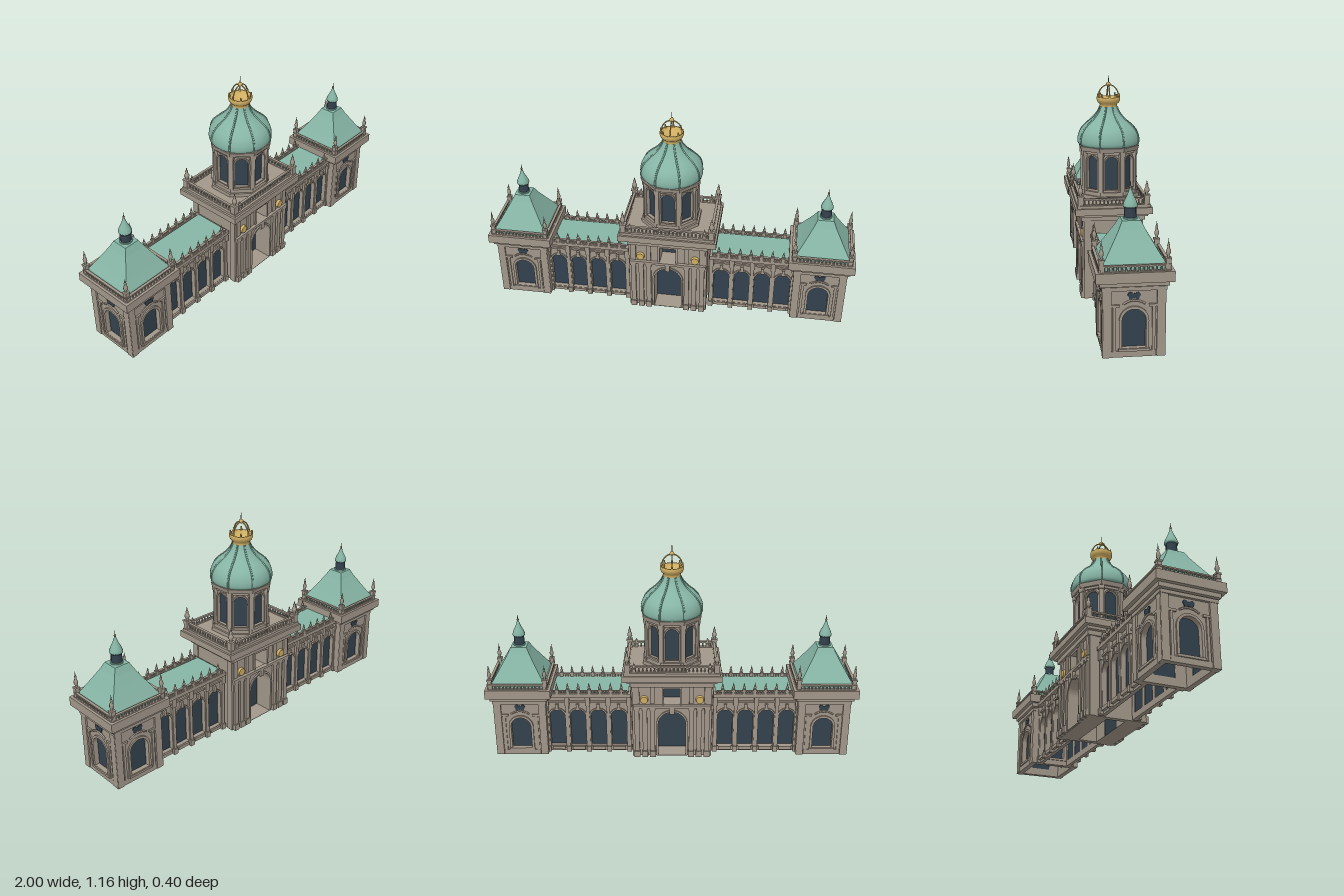
import * as THREE from 'three';
import { mergeGeometries } from 'three/addons/utils/BufferGeometryUtils.js';

const mat = (name, color) => {
  const m = new THREE.MeshStandardMaterial({ color, side: THREE.DoubleSide });
  m.name = name;
  return m;
};
const stone = mat('stone', 0xa2978a), copper = mat('copper', 0x86b5a5);
const glass = mat('glass', 0x33414d), gold = mat('gold', 0xcfae62), bronze = mat('bronze', 0x8a7355);

function add(parent, name, geo, material, x = 0, y = 0, z = 0) {
  const m = new THREE.Mesh(geo, material);
  m.name = name;
  m.position.set(x, y, z);
  parent.add(m);
  return m;
}
function group(parent, name, x = 0, y = 0, z = 0, ry = 0) {
  const g = new THREE.Group();
  g.name = name;
  g.position.set(x, y, z);
  g.rotation.y = ry;
  parent.add(g);
  return g;
}
// Box given by its bottom and top heights
const block = (p, name, w, y0, y1, d, x = 0, z = 0, m = stone) =>
  add(p, name, new THREE.BoxGeometry(w, y1 - y0, d), m, x, (y0 + y1) / 2, z);
const vecs = pts => pts.map(p => new THREE.Vector2(p[0], p[1]));
const lathe = (pts, n) => new THREE.LatheGeometry(vecs(pts), n);

// Opening outline: rectangle, or rectangle with a round head
function opening(o, grow = 0, Type = THREE.Shape) {
  const r = o.w / 2 + grow, s = new Type();
  s.moveTo(o.x - r, o.y0);
  s.lineTo(o.x + r, o.y0);
  if (o.flat) {
    s.lineTo(o.x + r, o.y1 + grow);
    s.lineTo(o.x - r, o.y1 + grow);
  } else s.absarc(o.x, o.y1 - o.w / 2, r, 0, Math.PI, false);
  s.closePath();
  return s;
}
const extrude = (shape, depth) =>
  new THREE.ExtrudeGeometry(shape, { depth, bevelEnabled: false, curveSegments: 10 });

// Wall with openings, recessed glass and raised surrounds; outer face at z = 0
function facade(p, w, y0, y1, t, openings, frame = 0.012) {
  const wall = new THREE.Shape(vecs([[-w / 2, y0], [w / 2, y0], [w / 2, y1], [-w / 2, y1]]));
  for (const o of openings) {
    wall.holes.push(opening(o, 0, THREE.Path));
    add(p, 'windowPane', new THREE.ShapeGeometry(opening(o), 10), glass, 0, 0, -t + 0.003);
    const ring = opening(o, frame);
    ring.holes.push(opening({ ...o, y0: o.y0 + 0.002 }, 0, THREE.Path));
    add(p, 'windowSurround', extrude(ring, 0.008), stone);
  }
  add(p, 'wall', extrude(wall, t), stone, 0, 0, -t);
}

// Straight balustrade along x
function balustrade(p, len, y0, y1, x, z, ry = 0, step = 0.02) {
  const g = group(p, 'balustrade', x, 0, z, ry), h = y1 - y0, parts = [];
  const n = Math.round(len / step);
  for (let i = 0; i <= n; i++) {
    const b = new THREE.CylinderGeometry(0.0035, 0.005, h, 6);
    b.translate((i / n - 0.5) * len, (y0 + y1) / 2, 0);
    parts.push(b);
  }
  add(g, 'balusters', mergeGeometries(parts), stone);
  block(g, 'topRail', len, y1 - h * 0.22, y1, 0.014);
  block(g, 'bottomRail', len, y0, y0 + h * 0.15, 0.014);
}
function balustradeRing(p, hx, hz, y0, y1) {
  for (const s of [-1, 1]) {
    balustrade(p, 2 * hx, y0, y1, 0, s * hz);
    balustrade(p, 2 * hz, y0, y1, s * hx, 0, Math.PI / 2);
  }
}

// Pedestal with a tapering finial
function pinnacle(p, x, y, z, h, w) {
  const g = group(p, 'pinnacle', x, y, z);
  block(g, 'pedestal', w, 0, h * 0.36, w);
  block(g, 'pedestalCap', w * 1.25, h * 0.34, h * 0.4, w * 1.25);
  const r = w / 2;
  add(g, 'finial', lathe([[r * 0.6, h * 0.4], [r * 0.5, h * 0.46], [r, h * 0.54], [r * 0.95, h * 0.62],
    [r * 0.45, h * 0.72], [r * 0.6, h * 0.78], [r * 0.25, h * 0.86], [0, h]], 8), stone);
}

function centreBlock(root) {
  const c = group(root, 'centreBlock');
  for (const ry of [0, Math.PI]) {
    const f = group(c, 'portalFront', 0, 0, 0, ry), wall = group(f, 'portalWall', 0, 0, 0.15);
    facade(wall, 0.4, 0, 0.45, 0.1, [
      { x: 0, y0: 0.002, y1: 0.27, w: 0.15 },
      { x: 0, y0: 0.31, y1: 0.41, w: 0.088, flat: true }], 0.01);
    for (const s of [-1, 1]) {
      for (const x of [0.105, 0.147, 0.19]) {
        block(f, 'pilaster', 0.026, 0, 0.3, 0.016, s * x, 0.155);
        block(f, 'pilasterBase', 0.032, 0, 0.035, 0.022, s * x, 0.159);
        block(f, 'pilasterCapital', 0.032, 0.285, 0.305, 0.02, s * x, 0.157);
      }
      block(f, 'upperPilaster', 0.03, 0.32, 0.44, 0.012, s * 0.19, 0.153);
      block(f, 'upperPilaster', 0.024, 0.32, 0.44, 0.012, s * 0.105, 0.153);
      const disc = add(f, 'goldRoundel', new THREE.CylinderGeometry(0.02, 0.023, 0.016, 20), gold, s * 0.15, 0.345, 0.157);
      disc.rotation.x = Math.PI / 2;
    }
    block(f, 'stringCourse', 0.42, 0.3, 0.315, 0.024, 0, 0.156);
    block(f, 'keystone', 0.025, 0.262, 0.302, 0.024, 0, 0.156);
  }
  for (const s of [-1, 1]) {
    block(c, 'sideWall', 0.03, 0, 0.45, 0.3, s * 0.195);
    for (const z of [-0.135, 0.135]) block(c, 'cornerPier', 0.03, 0, 0.45, 0.035, s * 0.2, z);
  }
  // Stepped cornice
  block(c, 'architrave', 0.44, 0.425, 0.45, 0.335);
  block(c, 'corniceStep', 0.48, 0.45, 0.47, 0.36);
  block(c, 'cornice', 0.53, 0.465, 0.5, 0.4);
  block(c, 'corniceTop', 0.51, 0.5, 0.515, 0.38);
  balustradeRing(c, 0.235, 0.17, 0.512, 0.55);
  for (const sx of [-1, 1]) for (const sz of [-1, 1]) {
    pinnacle(c, sx * 0.237, 0.512, sz * 0.172, 0.132, 0.028);
    pinnacle(c, sx * 0.2, 0.512, sz * 0.172, 0.06, 0.018);
  }
}

function tower(root) {
  const t = group(root, 'domeTower');
  const octagon = (name, a, y0, y1, a2 = a) => {
    const k = 1 / Math.cos(Math.PI / 8);
    const g = new THREE.CylinderGeometry(a2 * k, a * k, y1 - y0, 8).toNonIndexed();
    g.computeVertexNormals();
    add(t, name, g, stone, 0, (y0 + y1) / 2, 0).rotation.y = Math.PI / 8;
  };
  octagon('drumPlinth', 0.155, 0.512, 0.535);
  octagon('drumBase', 0.145, 0.535, 0.555);
  octagon('drumFrieze', 0.14, 0.755, 0.77);
  octagon('drumCornice', 0.15, 0.768, 0.792, 0.156);
  for (let i = 0; i < 8; i++) {
    const a = i * Math.PI / 4;
    const side = group(t, 'drumSide', Math.sin(a) * 0.132, 0, Math.cos(a) * 0.132, a);
    facade(side, 0.11, 0.55, 0.76, 0.015, [{ x: 0, y0: 0.567, y1: 0.745, w: 0.07 }], 0.007);
    const corner = group(t, 'drumCorner', 0, 0, 0, a + Math.PI / 8);
    block(corner, 'drumPilaster', 0.026, 0.54, 0.77, 0.022, 0, 0.143);
    block(corner, 'drumCapital', 0.032, 0.745, 0.77, 0.026, 0, 0.145);
  }
  // Bell-shaped dome with ribs
  const bell = [[0.15, 0.79], [0.163, 0.8], [0.166, 0.82], [0.162, 0.845], [0.15, 0.872], [0.125, 0.9],
    [0.095, 0.925], [0.073, 0.948], [0.057, 0.97], [0.046, 0.995]];
  const curve = new THREE.SplineCurve(vecs(bell)).getPoints(24);
  add(t, 'dome', new THREE.LatheGeometry(curve, 40), copper);
  const path = new THREE.CatmullRomCurve3(bell.map(p => new THREE.Vector3(0, p[1], p[0])));
  const rib = new THREE.TubeGeometry(path, 24, 0.005, 5);
  for (let i = 0; i < 8; i++) add(t, 'domeRib', rib, copper).rotation.y = (i + 0.5) * Math.PI / 4;
  // Gilded open crown
  add(t, 'crownBowl', lathe([[0.044, 0.985], [0.047, 1.0], [0.044, 1.006], [0.056, 1.016], [0.062, 1.03], [0.062, 1.045],
    [0.054, 1.045], [0.05, 1.02], [0, 1.012]], 32), gold);
  for (let i = 0; i < 8; i++) {
    const a = i * Math.PI / 4;
    add(t, 'crownPoint', new THREE.CylinderGeometry(0.004, 0.006, 0.022, 6), gold, Math.sin(a) * 0.056, 1.052, Math.cos(a) * 0.056);
  }
  const arch = new THREE.CatmullRomCurve3([-1, -0.92, -0.7, -0.38, 0, 0.38, 0.7, 0.92, 1].map(
    u => new THREE.Vector3(u * 0.054, 1.045 + 0.064 * Math.sqrt(1 - u * u), 0)));
  for (const ry of [0, Math.PI / 2])
    add(t, 'crownArch', new THREE.TubeGeometry(arch, 28, 0.0035, 6), gold).rotation.y = ry;
  add(t, 'crownOrb', new THREE.SphereGeometry(0.012, 14, 10), gold, 0, 1.112, 0);
  add(t, 'crownSpike', new THREE.CylinderGeometry(0.0015, 0.003, 0.04, 6), bronze, 0, 1.137, 0);
}

function wing(root, s) {
  const w = group(root, 'wing', s * 0.46);
  const step = 0.1125;
  for (const ry of [0, Math.PI]) {
    const f = group(w, 'wingFront', 0, 0, 0, ry), wall = group(f, 'wingWall', 0, 0, 0.093);
    facade(wall, 0.48, 0, 0.34, 0.02,
      [-1.5, -0.5, 0.5, 1.5].map(i => ({ x: i * step, y0: 0.032, y1: 0.257, w: 0.085 })), 0.008);
    for (let i = -2; i <= 2; i++) {
      block(f, 'wingPilaster', 0.018, 0, 0.31, 0.016, i * step, 0.098);
      block(f, 'pilasterFoot', 0.026, 0, 0.032, 0.024, i * step, 0.1);
      block(f, 'bracket', 0.026, 0.285, 0.34, 0.024, i * step, 0.1);
    }
    for (const i of [-1.5, -0.5, 0.5, 1.5]) {
      block(f, 'windowSill', 0.07, 0.012, 0.03, 0.018, i * step, 0.099);
      block(f, 'keystone', 0.016, 0.255, 0.29, 0.016, i * step, 0.098);
    }
    block(f, 'frieze', 0.47, 0.3, 0.31, 0.014, 0, 0.096);
    balustrade(f, 0.43, 0.358, 0.378, 0, 0.11, 0, 0.015);
    for (let i = -3; i <= 3; i++) pinnacle(f, i * 0.058 - s * Math.cos(ry) * 0.012, 0.357, 0.111, 0.07, 0.015);
  }
  block(w, 'wingCornice', 0.47, 0.338, 0.358, 0.24);
  block(w, 'wingRoof', 0.45, 0.358, 0.364, 0.19, 0, 0, copper);
}

function pavilion(root, s) {
  const p = group(root, 'pavilion', s * 0.825);
  for (let k = 0; k < 4; k++) {
    const f = group(p, 'pavilionSide', 0, 0, 0, k * Math.PI / 2), wall = group(f, 'pavilionWall', 0, 0, 0.132);
    facade(wall, 0.264, 0, 0.36, 0.022, [{ x: 0, y0: 0.04, y1: 0.225, w: 0.108 }], 0.013);
    block(f, 'plinth', 0.2, 0, 0.028, 0.012, 0, 0.133);
    block(f, 'windowSill', 0.14, 0.028, 0.04, 0.018, 0, 0.136);
    for (const x of [-1, 1]) {
      block(f, 'cornerPilaster', 0.038, 0, 0.32, 0.016, x * 0.121, 0.134);
      block(f, 'sidePilaster', 0.014, 0.028, 0.235, 0.01, x * 0.088, 0.134);
      block(f, 'impost', 0.045, 0.235, 0.247, 0.014, x * 0.088, 0.134);
    }
    block(f, 'stringCourse', 0.286, 0.312, 0.33, 0.02, 0, 0.135);
    const hood = new THREE.QuadraticBezierCurve3(new THREE.Vector3(-0.05, 0.248, 0.135),
      new THREE.Vector3(0, 0.283, 0.137), new THREE.Vector3(0.05, 0.248, 0.135));
    add(f, 'windowHood', new THREE.TubeGeometry(hood, 10, 0.005, 5), stone);
    for (const [x, y, r] of [[-0.017, 0.291, 0.012], [0.017, 0.291, 0.012], [0, 0.285, 0.012], [-0.015, 0.278, 0.009], [0.015, 0.278, 0.009]])
      add(f, 'smallLight', new THREE.CylinderGeometry(r, r, 0.006, 14), glass, x, y, 0.133).rotation.x = Math.PI / 2;
  }
  // Cornice and parapet
  block(p, 'corniceStep', 0.31, 0.335, 0.36, 0.31);
  block(p, 'cornice', 0.35, 0.357, 0.405, 0.35);
  balustradeRing(p, 0.155, 0.155, 0.403, 0.435);
  for (const x of [-1, 1]) for (const z of [-1, 1]) pinnacle(p, x * 0.147, 0.403, z * 0.147, 0.145, 0.022);
  // Concave square roof
  const q = Math.SQRT2;
  const roof = lathe([[0.14, 0.403], [0.14, 0.432], [0.113, 0.475], [0.085, 0.522], [0.06, 0.565], [0.042, 0.602], [0, 0.605]]
    .map(([r, y]) => [r * q, y]), 4).toNonIndexed();
  roof.computeVertexNormals();
  add(p, 'pavilionRoof', roof, copper).rotation.y = Math.PI / 4;
  // Lantern and spirelet
  add(p, 'lantern', new THREE.CylinderGeometry(0.027, 0.029, 0.058, 8), glass, 0, 0.632, 0);
  add(p, 'lanternRing', new THREE.CylinderGeometry(0.033, 0.033, 0.006, 16), copper, 0, 0.606, 0);
  add(p, 'spirelet', lathe([[0, 0.656], [0.032, 0.656], [0.034, 0.664], [0.027, 0.684], [0.016, 0.706], [0.008, 0.727], [0.003, 0.745]], 16), copper);
  add(p, 'spireletBall', new THREE.SphereGeometry(0.006, 10, 8), bronze, 0, 0.746, 0);
  add(p, 'spireletSpike', new THREE.CylinderGeometry(0.001, 0.003, 0.03, 6), bronze, 0, 0.757, 0);
}

export function createModel() {
  const root = new THREE.Group();
  root.name = 'palaceGateway';
  centreBlock(root);
  tower(root);
  for (const s of [-1, 1]) {
    wing(root, s);
    pavilion(root, s);
  }
  return root;
}
